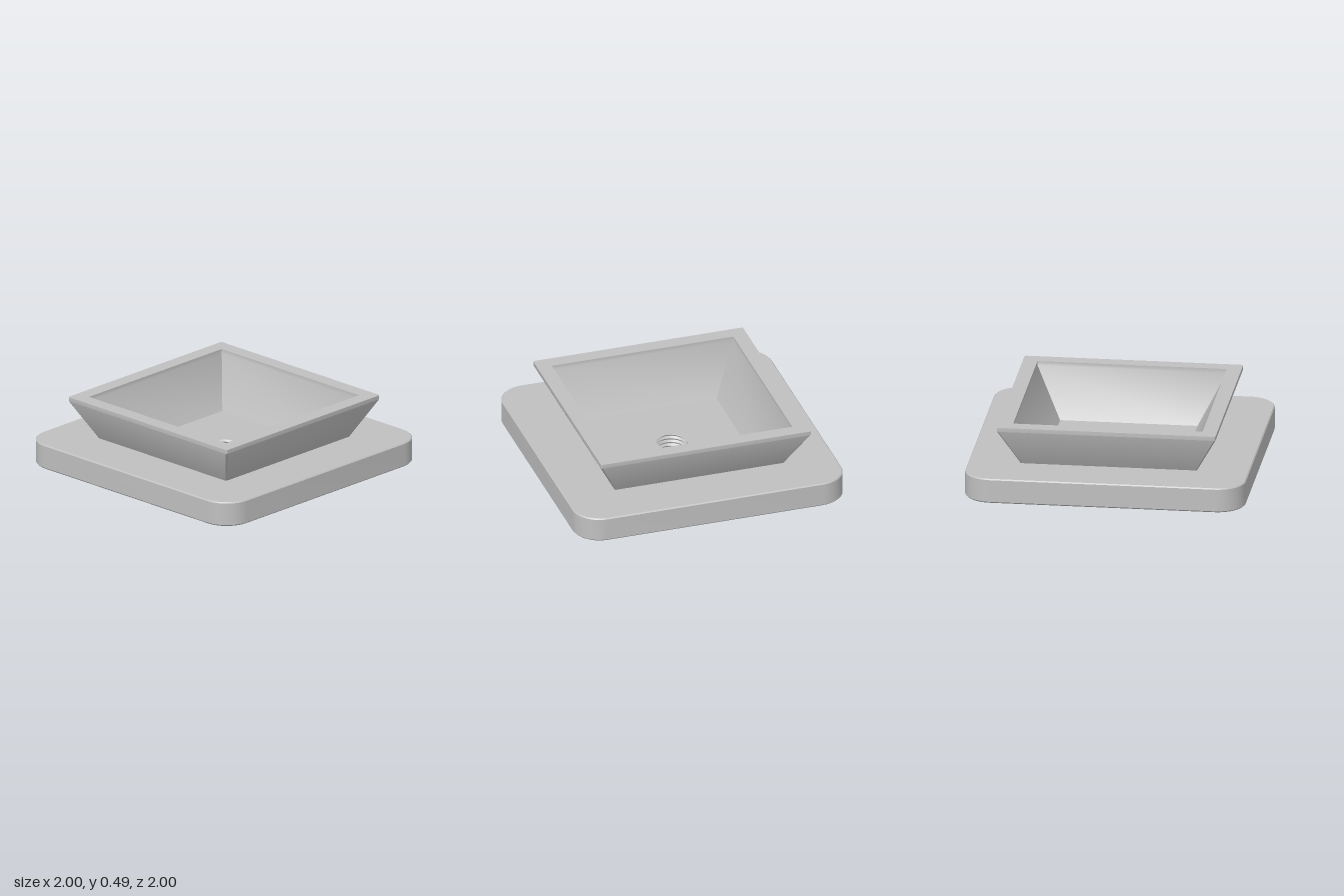
import * as THREE from 'three';
import { toCreasedNormals } from 'three/addons/utils/BufferGeometryUtils.js';

const SEG = 12; // segments per rounded corner

// Rounded square outline; radius equal to half gives a circle
function ring([half, radius, y]) {
  const pts = [];
  for (let q = 0; q < 4; q++) {
    const mid = (q + 0.5) * Math.PI / 2;
    const cx = Math.sign(Math.cos(mid)) * (half - radius);
    const cz = Math.sign(Math.sin(mid)) * (half - radius);
    for (let i = 0; i <= SEG; i++) {
      const a = (q + i / SEG) * Math.PI / 2;
      pts.push([cx + radius * Math.cos(a), y, cz + radius * Math.sin(a)]);
    }
  }
  return pts;
}

// Skin a list of [half, radius, y] sections
function loft(sections) {
  const rings = sections.map(ring), pos = [];
  for (let i = 0; i < rings.length - 1; i++) {
    const lo = rings[i], hi = rings[i + 1], n = lo.length;
    for (let j = 0; j < n; j++) {
      const k = (j + 1) % n;
      for (const t of [[lo[j], hi[j], hi[k]], [lo[j], hi[k], lo[k]]]) {
        const [a, b, c] = t.map(p => new THREE.Vector3(...p));
        // skip slivers where a corner collapses to a point
        if (b.clone().sub(a).cross(c.clone().sub(a)).length() > 1e-9) t.forEach(p => pos.push(...p));
      }
    }
  }
  const g = new THREE.BufferGeometry();
  g.setAttribute('position', new THREE.Float32BufferAttribute(pos, 3));
  return toCreasedNormals(g, 0.5);
}

// Drain bore with a helical thread cut into its wall
function threadedBore(top, inner, depth, pitch) {
  const rows = 64, line = [];
  for (let i = 0; i <= rows; i++) line.push(new THREE.Vector2(inner, top * (1 - i / rows)));
  const g = new THREE.LatheGeometry(line, 48);
  const p = g.attributes.position;
  for (let i = 0; i < p.count; i++) {
    const x = p.getX(i), y = p.getY(i), z = p.getZ(i);
    const turn = y / pitch + Math.atan2(z, x) / (2 * Math.PI);
    const wave = Math.abs((turn - Math.floor(turn)) * 2 - 1);
    const r = inner + depth * wave;
    const s = r / Math.hypot(x, z);
    p.setXYZ(i, x * s, y, z * s);
  }
  g.computeVertexNormals();
  return g;
}

export function createModel() {
  const group = new THREE.Group();
  const stone = new THREE.MeshStandardMaterial({ color: 0xc0c0c0, side: THREE.DoubleSide });
  stone.name = 'grey ceramic';
  const add = (name, geometry) => {
    const m = new THREE.Mesh(geometry, stone);
    m.name = name;
    group.add(m);
  };

  // Slab with softened edges and a shallow recess underneath
  add('baseSlab', loft([
    [0.18, 0.18, 0.04], [0.93, 0.13, 0.04], [0.93, 0.13, 0],
    [0.99, 0.19, 0], [1, 0.2, 0.01], [1, 0.2, 0.172],
    [0.992, 0.192, 0.18], [0.63, 0.012, 0.18],
  ]));

  // Flared square basin: outer wall, rim, inner lip, sloping walls, floor
  add('basin', loft([
    [0.63, 0.012, 0.18], [0.78, 0.012, 0.46], [0.78, 0.012, 0.49],
    [0.675, 0, 0.49], [0.675, 0, 0.46], [0.49, 0, 0.12], [0.115, 0.115, 0.12],
  ]));

  // Round boss in the recess, around the drain outlet
  add('drainBoss', loft([[0.115, 0.115, 0], [0.18, 0.18, 0], [0.18, 0.18, 0.04]]));

  add('drainThread', threadedBore(0.12, 0.1, 0.015, 0.03));
  return group;
}
